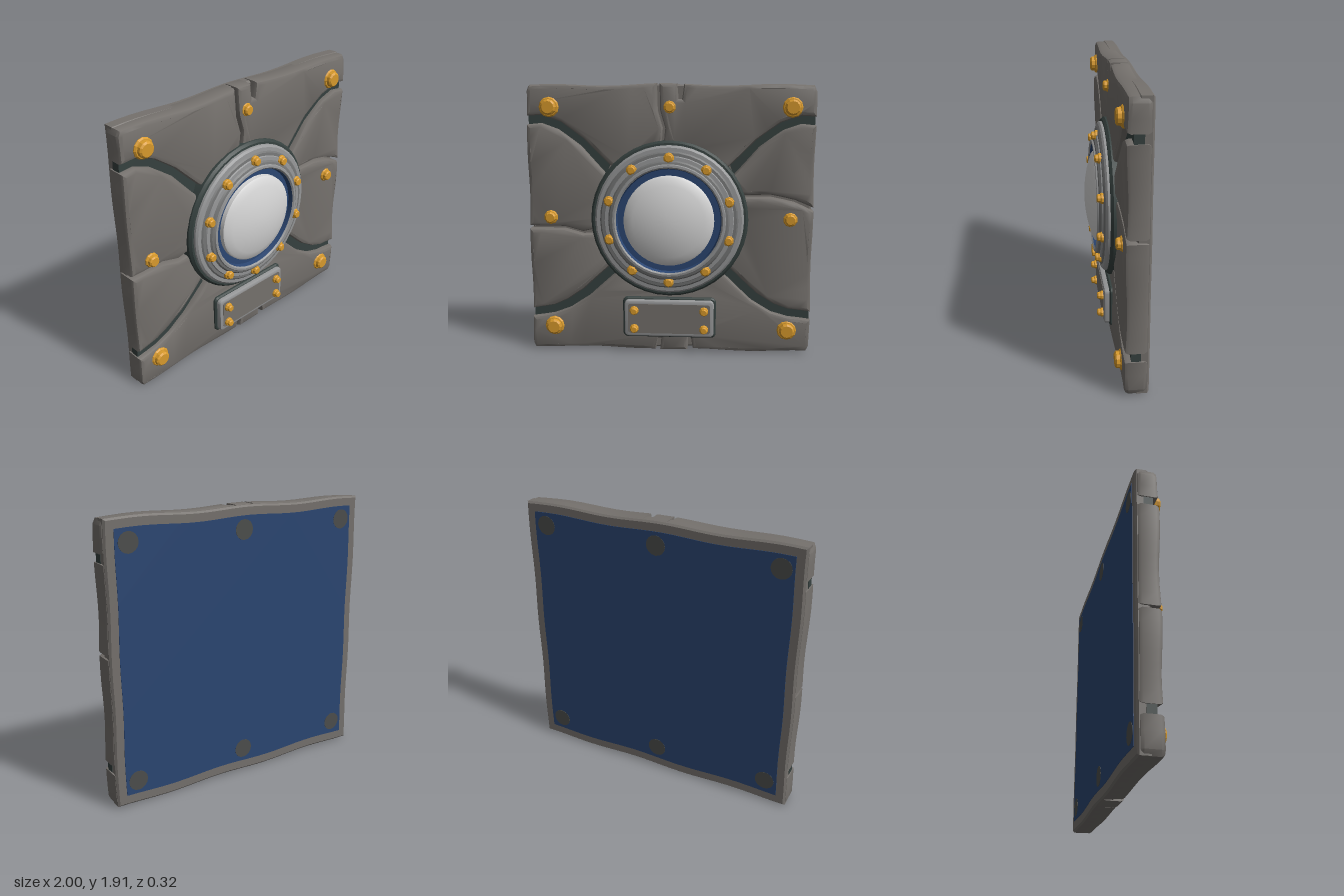
import * as THREE from 'three';
import { toCreasedNormals } from 'three/addons/utils/BufferGeometryUtils.js';

const mat = (name, color, extra = {}) => {
  const m = new THREE.MeshStandardMaterial({ color, ...extra });
  m.name = name;
  return m;
};

const CY = 0.975; // height of the porthole centre
const mirror = (pts) => pts.map(([x, y]) => [-x, y]);

export function createModel() {
  const stone = mat('stone', 0x75716d);
  const dark = mat('dark groove', 0x36413f);
  const light = mat('light metal', 0x969798);
  const mid = mat('mid metal', 0x757676);
  const navy = mat('navy', 0x2b4672);
  const gold = mat('gold', 0xd89a2c, { flatShading: true });
  const glass = mat('pale glass', 0xd6d6d6);
  const plug = mat('back plug', 0x4c4e4c);

  const model = new THREE.Group();
  model.name = 'wallPanel';
  const add = (name, geo, material, x = 0, y = 0, z = 0) => {
    const mesh = new THREE.Mesh(geo, material);
    mesh.name = name;
    mesh.position.set(x, y, z);
    model.add(mesh);
    return mesh;
  };

  // Points on a circle around the porthole centre, angles in degrees
  const arc = (a, b, r = 0.5) => Array.from({ length: 7 }, (_, i) => {
    const t = THREE.MathUtils.degToRad(a + ((b - a) * i) / 6);
    return [r * Math.cos(t), CY + r * Math.sin(t)];
  });

  // Closed outline, resampled and slightly wavy like hewn stone
  const outline = (pts, wave = 0.007) => {
    const out = [];
    pts.forEach(([x, y], i) => {
      const [u, v] = pts[(i + 1) % pts.length];
      const n = Math.max(1, Math.round(Math.hypot(u - x, v - y) / 0.09));
      for (let k = 0; k < n; k++) {
        const px = x + ((u - x) * k) / n, py = y + ((v - y) * k) / n;
        out.push(new THREE.Vector2(
          px * (1 - wave * (0.5 + 0.5 * Math.sin(py * 9 + px * 2))),
          py + wave * Math.sin(px * 8 + py)));
      }
    });
    return new THREE.Shape(out);
  };

  // Extrusion between two depths with its bevel kept inside the outline
  const slab = (shape, z0, z1, bevel, segments = 2) => {
    const geo = new THREE.ExtrudeGeometry(shape, {
      depth: z1 - z0 - 2 * bevel, bevelEnabled: bevel > 0, bevelThickness: bevel,
      bevelSize: bevel, bevelOffset: -bevel, bevelSegments: segments, curveSegments: 6,
    });
    return geo.translate(0, 0, z0 + bevel);
  };
  const rect = (x0, y0, x1, y1) => [[x0, y0], [x1, y0], [x1, y1], [x0, y1]];

  const roundRect = (w, h, r) => {
    const s = new THREE.Shape();
    s.absarc(w / 2 - r, h / 2 - r, r, 0, Math.PI / 2);
    s.absarc(r - w / 2, h / 2 - r, r, Math.PI / 2, Math.PI);
    s.absarc(r - w / 2, r - h / 2, r, Math.PI, Math.PI * 1.5);
    s.absarc(w / 2 - r, r - h / 2, r, Math.PI * 1.5, Math.PI * 2);
    return s;
  };

  // Backing slab seen in the cracks, with the navy back and its plugs
  const base = slab(outline(rect(-0.99, 0.015, 0.99, 1.9)), -0.155, -0.065, 0.012, 1);
  add('backingSlab', toCreasedNormals(base, 0.5), stone);
  add('backPanel', slab(outline(rect(-0.925, 0.085, 0.925, 1.835)), -0.158, -0.152, 0), navy);
  for (const x of [-0.835, 0, 0.835]) for (const y of [0.18, 1.75]) {
    const disc = new THREE.CylinderGeometry(0.068, 0.068, 0.006, 16).rotateX(Math.PI / 2);
    add('backPlug', disc, plug, x, y, -0.157);
  }

  // Edges of the four curved grooves on the -x side, from the border inward
  const topOuter = [[-1, 1.69], [-0.9, 1.69], [-0.76, 1.64], [-0.6, 1.53], [-0.42, 1.36]];
  const topInner = [[-1, 1.63], [-0.9, 1.635], [-0.78, 1.59], [-0.62, 1.48], [-0.45, 1.3]];
  const lowInner = [[-1, 0.31], [-0.84, 0.33], [-0.74, 0.37], [-0.62, 0.45], [-0.43, 0.63]];
  const lowOuter = [[-1, 0.25], [-0.84, 0.27], [-0.72, 0.31], [-0.58, 0.4], [-0.39, 0.58]];
  const corner = (sx, top) => (top
    ? [[sx * 0.985, 1.895], [sx, 1.86]]
    : [[sx, 0.05], [sx * 0.985, 0.015]]);
  const rev = (pts) => [...pts].reverse();

  const stones = {
    topLeftStone: [...mirror(topOuter), ...arc(43, 95), [-0.03, 1.6], [-0.065, 1.72], [-0.07, 1.905],
      [0.05, 1.905], [0.06, 1.8], [0.085, 1.8], [0.1, 1.905], ...corner(1, true)],
    topRightStone: [...topOuter, ...arc(137, 97), [-0.05, 1.6], [-0.085, 1.72], [-0.09, 1.905],
      ...corner(-1, true)],
    upperRightStone: [...topInner, ...arc(140, 188), [-0.62, 0.87], [-0.75, 0.905], [-1, 0.92]],
    lowerRightStone: [...lowInner, ...arc(219, 193), [-0.62, 0.85], [-0.75, 0.885], [-1, 0.9]],
    upperLeftStone: [...mirror(topInner), ...arc(40, 21), [0.7, 1.15], [0.87, 1.11], [1, 1.06]],
    lowerLeftStone: [...mirror(lowInner), ...arc(-39, 19), [0.7, 1.13], [0.87, 1.09], [1, 1.035]],
    bottomStone: [...lowOuter, ...arc(225, 315), ...rev(mirror(lowOuter)), ...corner(1, false),
      [0.17, 0.015], [0.155, 0.1], [0.135, 0.1], [0.13, 0.008],
      [-0.07, 0.008], [-0.06, 0.1], [-0.08, 0.1], [-0.1, 0.015], ...rev(corner(-1, false))],
  };
  for (const [name, pts] of Object.entries(stones)) {
    const geo = slab(outline(pts), -0.145, 0, 0.026);
    const p = geo.attributes.position;
    // Gently uneven front faces
    for (let i = 0; i < p.count; i++) {
      if (p.getZ(i) > -0.04) {
        p.setZ(i, p.getZ(i) + 0.006 * Math.sin(p.getX(i) * 6 + p.getY(i) * 9));
      }
    }
    add(name, toCreasedNormals(geo, 0.5), stone);
  }

  // Dark strips lying in the curved grooves
  for (const [a, b] of [[topOuter, topInner], [lowInner, lowOuter]]) {
    for (const flip of [false, true]) {
      const up = a.map(([x, y]) => [x * 0.993, y + 0.01]);
      const down = b.map(([x, y]) => [x * 0.993, y - 0.01]);
      const pts = [...up, ...rev(down)];
      add('grooveStrip', slab(outline(flip ? mirror(pts) : pts), -0.1, -0.04, 0), dark);
    }
  }

  // Porthole: turned rings, each [radius, depth] from outside inward
  const turned = (pts, seg = 40) => toCreasedNormals(new THREE.LatheGeometry(
    pts.map(([r, z]) => new THREE.Vector2(r, z)), seg).rotateX(Math.PI / 2), 0.5);
  const ring = (name, pts, material) => add(name, turned(pts), material, 0, CY, 0);
  ring('outerGasket', [[0.55, -0.07], [0.55, 0.015], [0.535, 0.032], [0.5, 0.035]], dark);
  ring('outerRim', [[0.522, 0.02], [0.518, 0.048], [0.505, 0.06], [0.48, 0.062]], light);
  ring('outerBand', [[0.48, 0.062], [0.47, 0.07], [0.45, 0.072]], mid);
  ring('middleBand', [[0.45, 0.072], [0.445, 0.08], [0.42, 0.082]], light);
  ring('innerBand', [[0.42, 0.082], [0.41, 0.092], [0.395, 0.096]], mid);
  ring('innerRim', [[0.395, 0.096], [0.39, 0.106], [0.375, 0.108], [0.365, 0.098]], light);
  ring('portholeSeat', [[0.365, 0.098], [0.358, 0.065], [0.29, 0.065]], navy);
  const dome = [[0.315, 0.06], [0.312, 0.095]];
  for (let i = 0; i <= 6; i++) {
    const r = 0.3 * (1 - i / 6);
    dome.push([r, 0.16 - 0.845 + Math.sqrt(0.845 ** 2 - r * r)]);
  }
  ring('glassDome', dome, glass);

  // Name plate: dark seat, light rim, stone-coloured face
  const PY = 0.262;
  add('plateSeat', slab(roundRect(0.665, 0.295, 0.035), -0.05, 0.02, 0.01, 1), dark, 0, PY);
  add('plateRim', toCreasedNormals(slab(roundRect(0.635, 0.265, 0.03), -0.03, 0.055, 0.014), 0.5),
    light, 0, PY);
  add('plateFace', slab(roundRect(0.585, 0.215, 0.02), 0.05, 0.058, 0), stone, 0, PY);

  // Bolts: wide collar with a smaller chamfered head
  const bolt = (name, x, y, r, z0, z1, sides = 10) => {
    const h = z1 - z0;
    const pts = [[0.9, -0.4], [1, 0], [1, 0.35], [0.88, 0.5], [0.78, 0.52], [0.76, 0.85], [0.6, 1], [0, 1]]
      .map(([a, b]) => new THREE.Vector2(a * r, b * h));
    add(name, new THREE.LatheGeometry(pts, sides).rotateX(Math.PI / 2), gold, x, y, z0);
  };
  for (const x of [-0.835, 0.835]) {
    bolt('cornerBolt', x, 1.75, 0.07, -0.02, 0.044, 12);
    bolt('cornerBolt', x, 0.18, 0.07, -0.02, 0.044, 12);
    bolt('sideBolt', x * 1.006, 0.98, 0.05, -0.015, 0.04);
  }
  bolt('topBolt', 0, 1.75, 0.045, -0.02, 0.03);
  for (let i = 0; i < 10; i++) {
    const a = Math.PI / 2 + (i * Math.PI) / 5;
    bolt('ringBolt', 0.435 * Math.cos(a), CY + 0.435 * Math.sin(a), 0.037, 0.068, 0.112);
  }
  for (const x of [-0.248, 0.248]) for (const y of [0.19, 0.323]) {
    bolt('plateBolt', x, y, 0.032, 0.054, 0.098);
  }
  return model;
}
